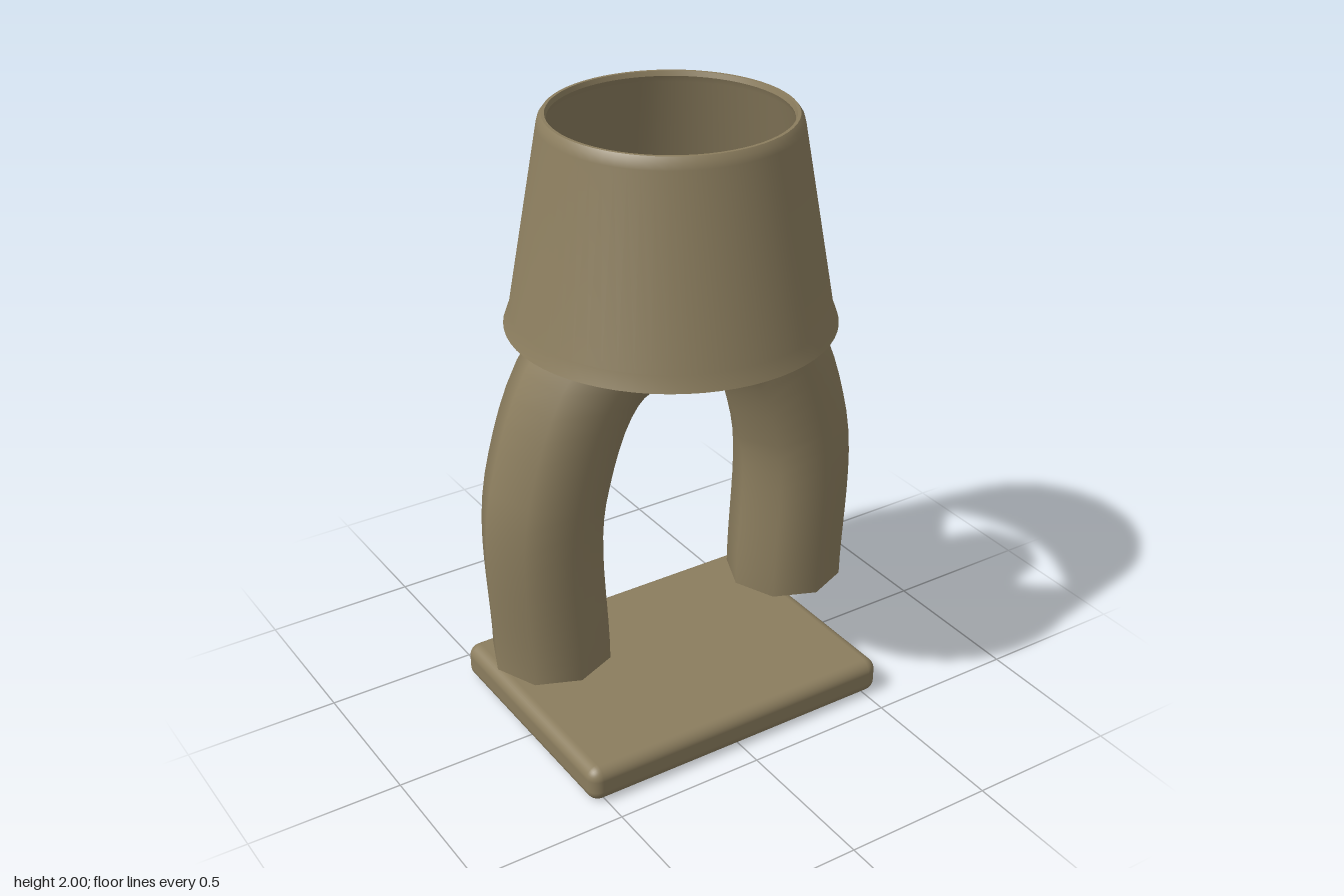
import * as THREE from 'three';
import { RoundedBoxGeometry } from 'three/addons/geometries/RoundedBoxGeometry.js';
import { toCreasedNormals } from 'three/addons/utils/BufferGeometryUtils.js';

export function createModel() {
  const lamp = new THREE.Group();
  lamp.name = 'lamp';

  const clay = new THREE.MeshStandardMaterial({ color: 0x8b7d5e, side: THREE.DoubleSide });
  clay.name = 'clay brown';
  const cream = new THREE.MeshStandardMaterial({ color: 0xe8dfc8 });
  cream.name = 'cream';

  const add = (name, geometry, material, y = 0) => {
    const mesh = new THREE.Mesh(geometry, material);
    mesh.name = name;
    mesh.position.y = y;
    lamp.add(mesh);
  };

  // Base slab with rounded edges
  add('base', new RoundedBoxGeometry(1.1, 0.12, 0.83, 4, 0.04), clay, 0.06);

  // Arched body: one open eight-sided tube forming both legs
  const half = [[0.45, 0.3], [0.45, 0.9], [0.25, 1.3]];
  const path = new THREE.CatmullRomCurve3([
    ...half.map(([x, y]) => new THREE.Vector3(-x, y, 0)),
    ...half.reverse().map(([x, y]) => new THREE.Vector3(x, y, 0)),
  ]);
  add('archedLegs', new THREE.TubeGeometry(path, 40, 0.192, 8, false), clay);

  // Thin-walled shade, open at both ends, with a slight flare and a rounded top rim
  const profile = [
    [0.49, 1.35], [0.505, 1.35], [0.487, 1.4], [0.388, 1.965], [0.383, 1.985], [0.372, 2],
    [0.362, 2], [0.357, 1.985], [0.365, 1.965], [0.472, 1.4], [0.49, 1.35],
  ].map(([r, y]) => new THREE.Vector2(r, y));
  add('shade', toCreasedNormals(new THREE.LatheGeometry(profile, 64), 0.6), clay);

  // Bulb standing on the arch
  add('bulb', new THREE.CapsuleGeometry(0.08, 0.12, 8, 24), cream, 1.64);

  return lamp;
}
